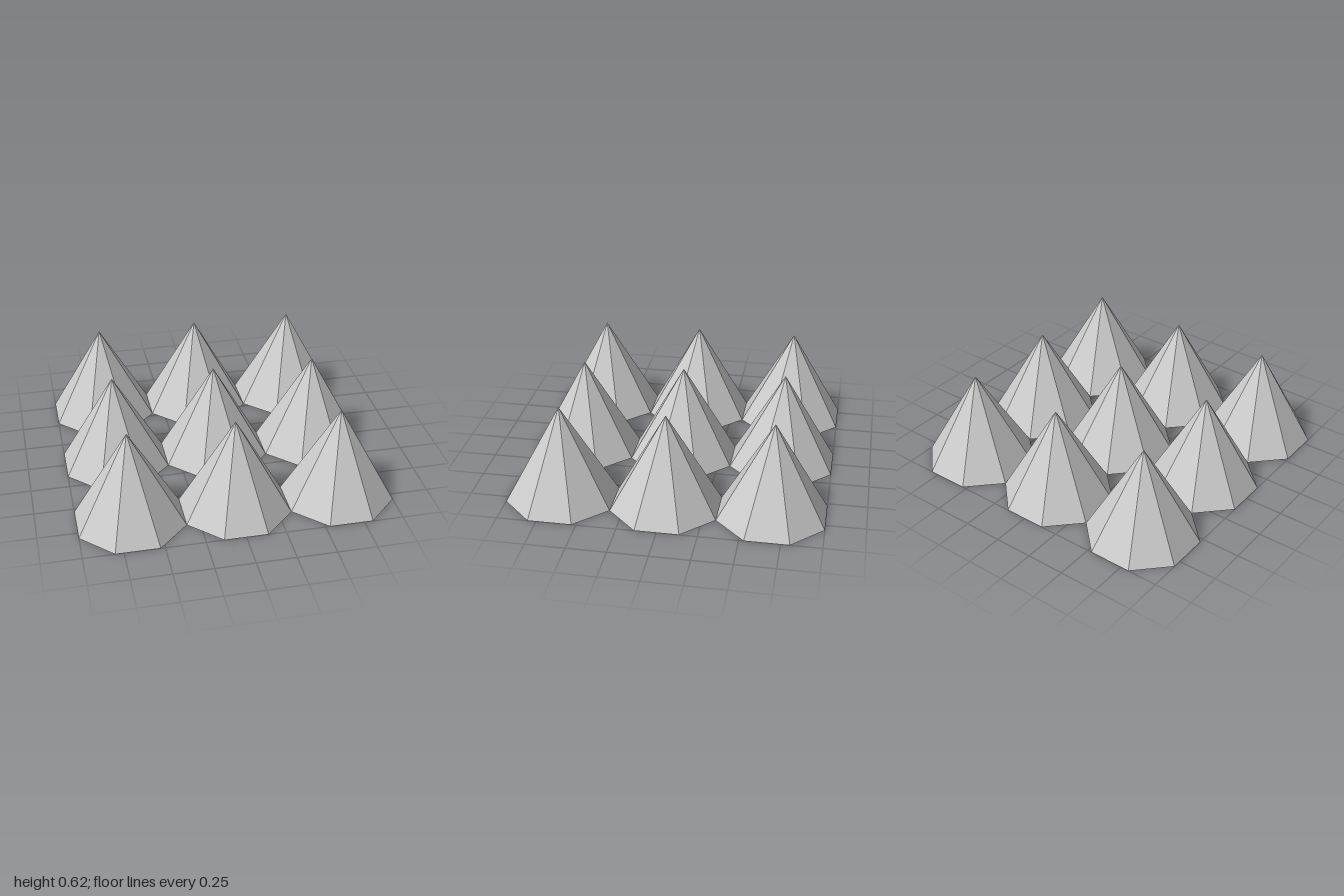
import * as THREE from 'three';

const SPACING = 2 / 3;
const HEIGHT = 0.625;
const RADIUS = SPACING / 2 / Math.cos(Math.PI / 8); // neighbouring bases share an edge

export function createModel() {
  const model = new THREE.Group();
  model.name = 'spikeGrid';
  const material = new THREE.MeshStandardMaterial({ color: 0xcccccc, flatShading: true });

  // Eight-sided closed cone, turned so flat sides face the axes, base on the ground
  const geometry = new THREE.ConeGeometry(RADIUS, HEIGHT, 8);
  geometry.rotateY(Math.PI / 8);
  geometry.translate(0, HEIGHT / 2, 0);

  // Three by three grid of spikes
  for (let row = -1; row <= 1; row++) {
    for (let column = -1; column <= 1; column++) {
      const spike = new THREE.Mesh(geometry, material);
      spike.name = `spikeRow${row + 2}Column${column + 2}`;
      spike.position.set(column * SPACING, 0, row * SPACING);
      model.add(spike);
    }
  }
  return model;
}
